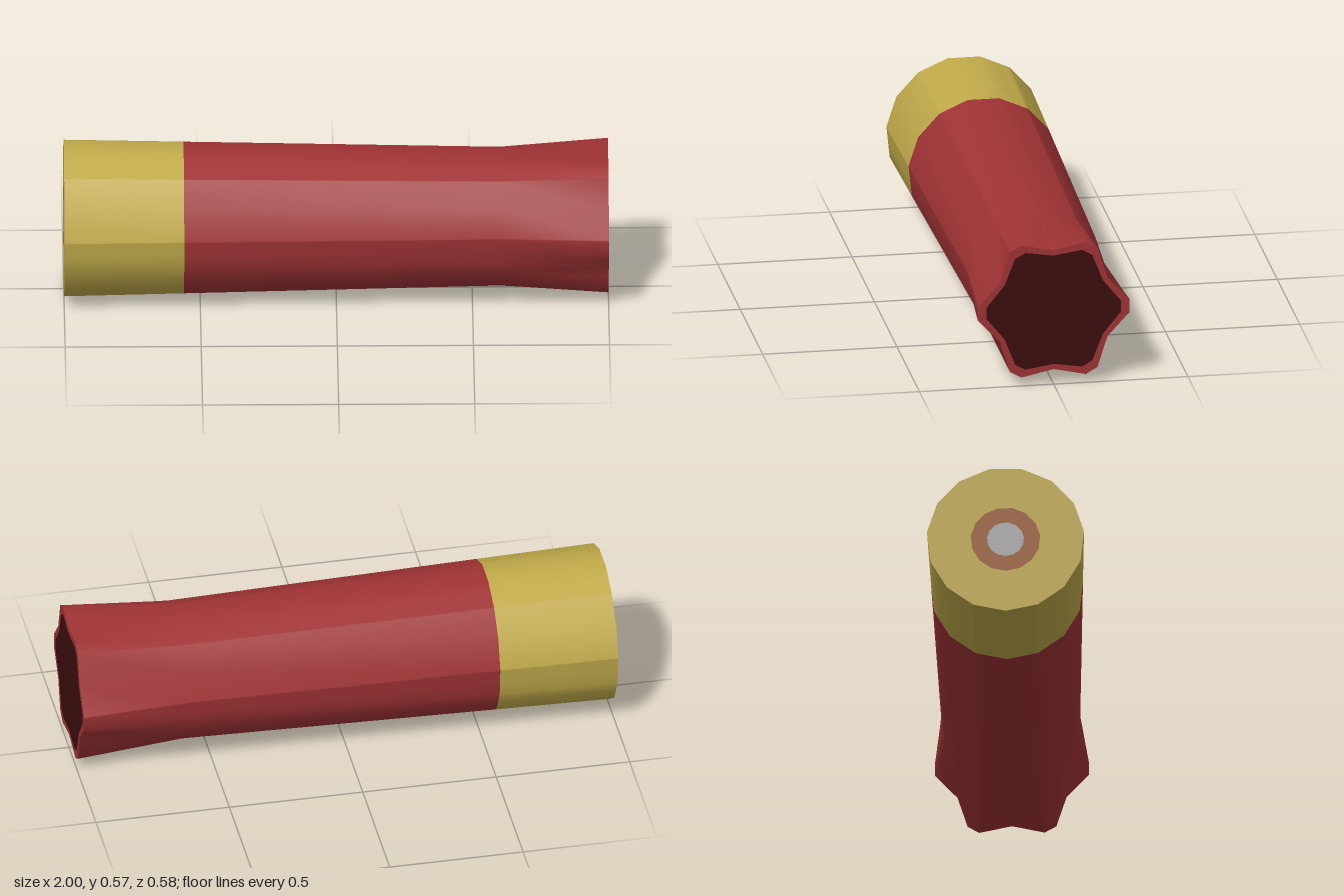
import * as THREE from 'three';

const AXIS_Y = 0.29;
const RAD = Math.PI / 180;

const mat = (name, color) => {
  const m = new THREE.MeshStandardMaterial({ color });
  m.name = name;
  return m;
};

// Every ring shares these angles (degrees from the bottom): 15-sided tube corners plus mouth corners
const ANGLES = [...new Set([
  ...Array.from({ length: 15 }, (_, i) => i * 24),
  ...Array.from({ length: 6 }, (_, i) => [i * 60, i * 60 + 25, i * 60 + 35]).flat(),
])].sort((a, b) => a - b);

// Radius of a 15-sided polygon at an angle
const round = (r) => (a) => r * Math.cos(12 * RAD) / Math.cos(((a % 24) - 12) * RAD);

// Radius of a six-lobed outline with flat lobe tips
const lobed = (valley, lobe) => (a) => {
  const t = a % 60;
  const [a1, r1, a2, r2] = t < 25 ? [0, valley, 25, lobe]
    : t < 35 ? [25, lobe, 35, lobe] : [35, lobe, 60, valley];
  return r1 * r2 * Math.sin((a2 - a1) * RAD)
    / (r1 * Math.sin((t - a1) * RAD) + r2 * Math.sin((a2 - t) * RAD));
};

// Skin a series of rings [x, radius function]; one geometry group per band
function loft(rings) {
  const n = ANGLES.length, pos = [], idx = [];
  const geo = new THREE.BufferGeometry();
  for (const [x, radius] of rings) {
    for (const a of ANGLES) {
      const r = radius(a);
      pos.push(x, AXIS_Y - r * Math.cos(a * RAD), r * Math.sin(a * RAD));
    }
  }
  for (let k = 0; k < rings.length - 1; k++) {
    for (let i = 0; i < n; i++) {
      const j = (i + 1) % n;
      const A = k * n + i, B = k * n + j, C = A + n, D = B + n;
      idx.push(A, C, B, B, C, D);
    }
    geo.addGroup(k * n * 6, n * 6, k);
  }
  geo.setAttribute('position', new THREE.Float32BufferAttribute(pos, 3));
  geo.setIndex(idx);
  geo.computeVertexNormals();
  return geo;
}

export function createModel() {
  const group = new THREE.Group();
  const brass = mat('brass', 0xc0aa4a);
  const red = mat('red plastic', 0xa03335);
  const dark = mat('dark interior', 0x3c0e0e);
  const copper = mat('copper', 0x9c5a2c);
  const steel = mat('steel', 0xaaaaac);

  const add = (name, rings, material) => {
    const mesh = new THREE.Mesh(loft(rings), material);
    mesh.name = name;
    group.add(mesh);
  };

  const centre = () => 0;
  const base = round(0.29);
  const primerRim = round(0.128), primerCore = round(0.068);
  const mouth = lobed(0.231, 0.284), mouthInner = lobed(0.211, 0.251);

  // Tapering tube: brass head, red hull, fluted open mouth
  add('casing', [
    [-1, base], [-0.56, round(0.281)], [0.6, round(0.257)], [1, mouth],
  ], [brass, red, red]);

  // Flat rear end
  add('primerCore', [[-1, centre], [-1, primerCore]], steel);
  add('primerRing', [[-1, primerCore], [-1, primerRim]], copper);
  add('headFace', [[-1, primerRim], [-1, base]], brass);

  // Front lip and opening
  add('mouthLip', [[1, mouth], [1, mouthInner]], red);
  add('mouthOpening', [[1, mouthInner], [1, centre]], dark);

  return group;
}
